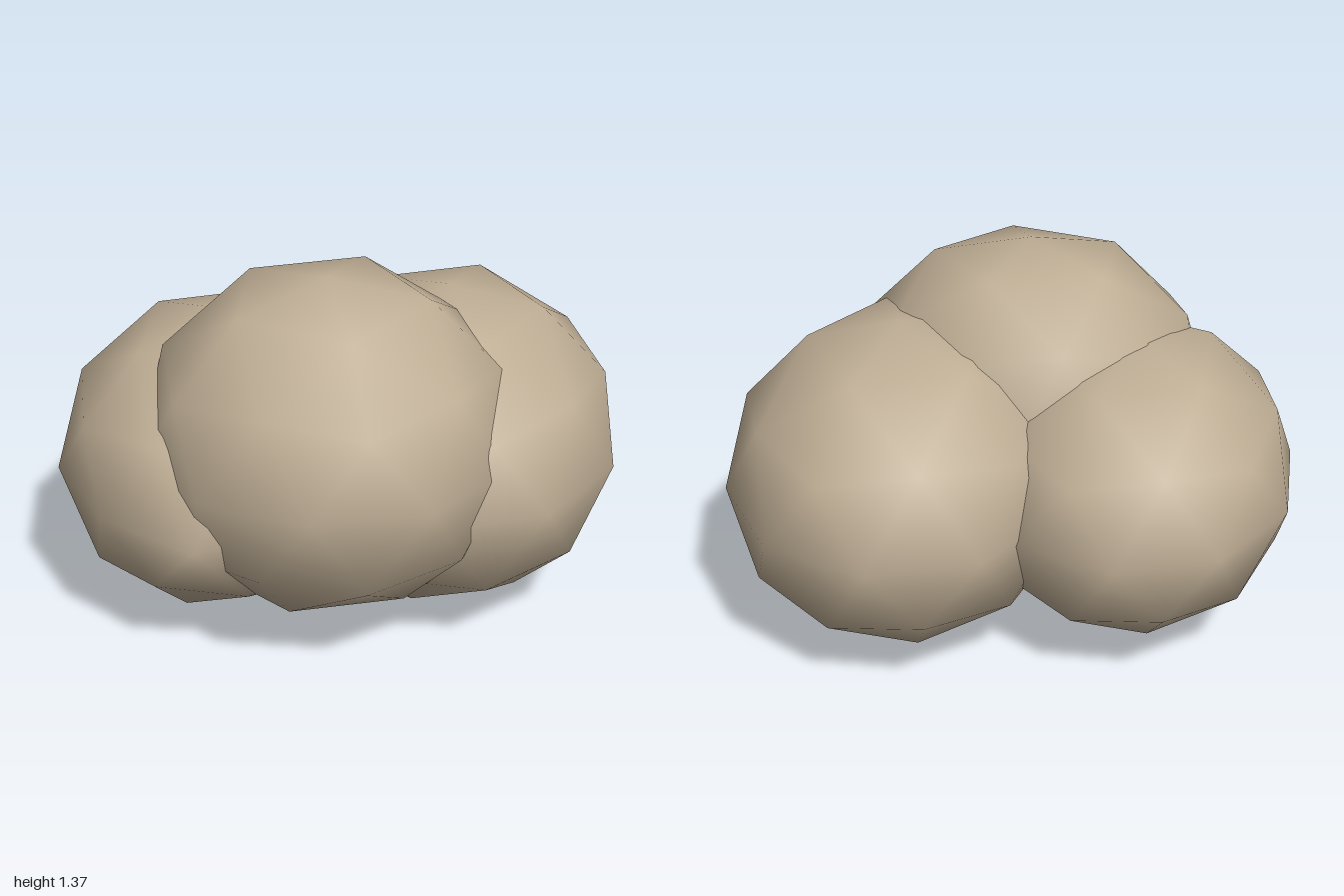
import * as THREE from 'three';
import { mergeVertices } from 'three/addons/utils/BufferGeometryUtils.js';

// Ellipsoidal boulder: a subdivided icosahedron with a vertex at each pole,
// optionally bent by a rule acting on the unit-sphere vertices.
function boulder(name, material, center, radii, bend) {
  let geo = new THREE.IcosahedronGeometry(1, 1);
  geo.rotateX(-Math.atan((1 + Math.sqrt(5)) / 2));
  geo.rotateY(Math.PI / 2);
  geo.deleteAttribute('uv');
  geo.deleteAttribute('normal');
  geo = mergeVertices(geo, 1e-4);

  const pos = geo.attributes.position;
  const v = new THREE.Vector3();
  for (let i = 0; i < pos.count; i++) {
    v.fromBufferAttribute(pos, i);
    if (bend) bend(v);
    v.multiply(radii);
    pos.setXYZ(i, v.x, v.y, v.z);
  }
  geo.computeVertexNormals();

  const mesh = new THREE.Mesh(geo, material);
  mesh.name = name;
  mesh.position.copy(center);
  return mesh;
}

export function createModel() {
  const group = new THREE.Group();
  group.name = 'boulderCluster';
  const stone = new THREE.MeshStandardMaterial({ color: 0xbfae95 });
  stone.name = 'tan stone';
  const V = (x, y, z) => new THREE.Vector3(x, y, z);

  // Raised front boulder, a little fuller on its upper back
  group.add(boulder('frontBoulder', stone, V(-0.02, 0.752, 0.25), V(0.675, 0.6225, 0.617), (v) => {
    if (v.y > 0.3 && v.y < 0.95) v.y += 0.035 - 0.07 * v.z;
  }));

  // Large boulder at the back left
  group.add(boulder('leftBoulder', stone, V(0.39, 0.6, -0.135), V(0.642, 0.597, 0.74), (v) => {
    if (v.y > 0.8 && v.y < 0.95) v.y += 0.015;
  }));

  // Right boulder with its front tip drawn out
  group.add(boulder('rightBoulder', stone, V(-0.43, 0.58, 0), V(0.6, 0.555, 0.71), (v) => {
    if (v.z > 0.98) v.z = 1.1;
  }));

  return group;
}
